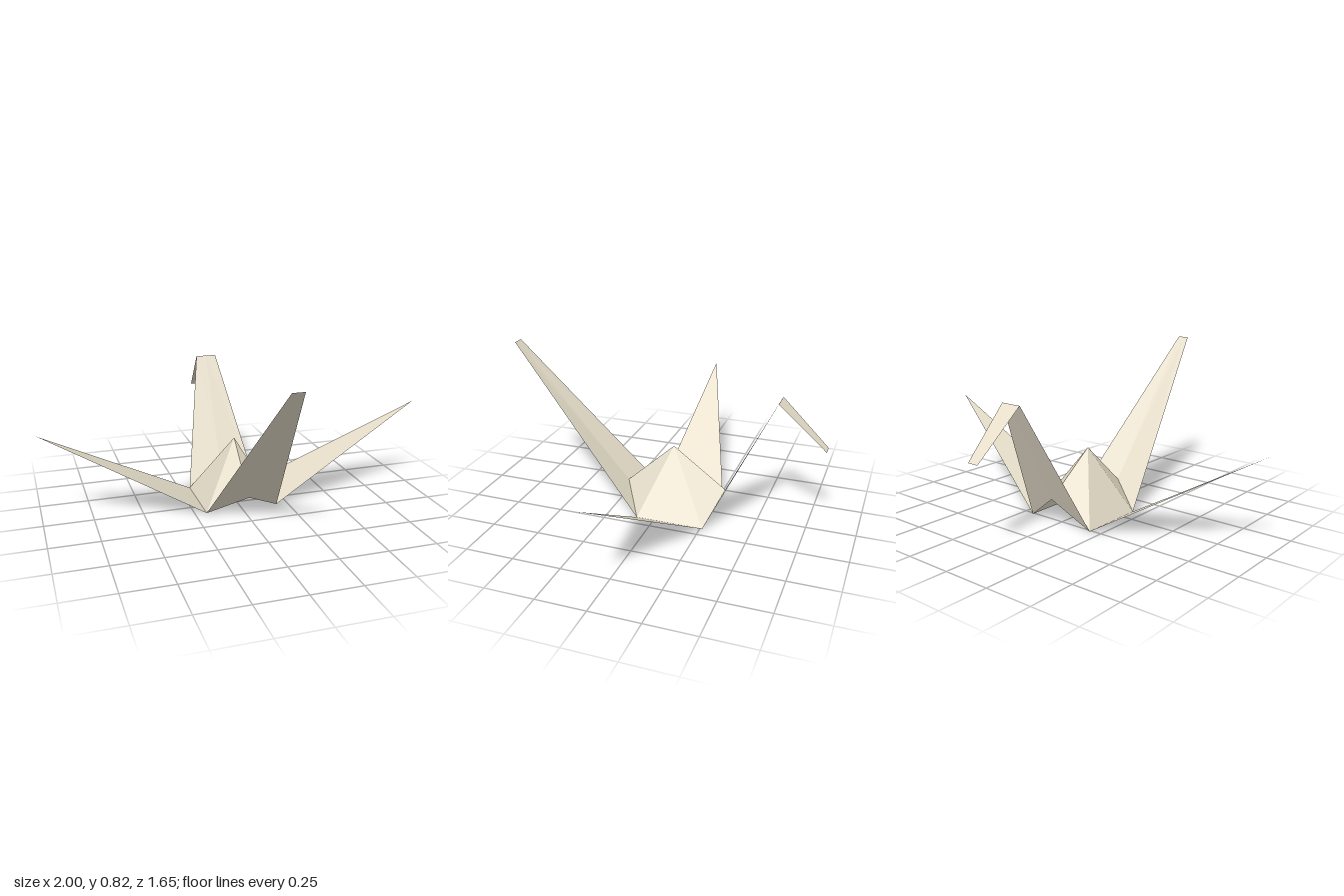
import * as THREE from 'three';

const paper = new THREE.MeshStandardMaterial({ color: 0xe9e1cd, side: THREE.DoubleSide });
paper.name = 'paper';

// Fold points on the centre line and on the +x side
const apex = [0, 0.345, -0.045];
const frontNotch = [0, 0.11, 0.21];
const backNotch = [0, 0.14, -0.325];
const frontCorner = [0.19, 0, 0.092];
const backCorner = [0.19, 0, -0.262];
const wingTip = [1, 0.475, 0.02];
const tailMid = [0, 0.82, 0.825];
const tailEdge = [0.03, 0.82, 0.825];
const neckMid = [0, 0.665, -0.585];
const neckEdge = [0.055, 0.665, -0.585];
const beakMid = [0, 0.44, -0.825];
const beakEdge = [0.03, 0.44, -0.825];

// Flat-faced sheet from convex polygons, each fanned into triangles
function sheet(name, polygons) {
  const positions = [];
  for (const p of polygons) {
    for (let i = 1; i < p.length - 1; i++) positions.push(...p[0], ...p[i], ...p[i + 1]);
  }
  const geometry = new THREE.BufferGeometry();
  geometry.setAttribute('position', new THREE.Float32BufferAttribute(positions, 3));
  geometry.computeVertexNormals();
  const mesh = new THREE.Mesh(geometry, paper);
  mesh.name = name;
  return mesh;
}

// Copy a polygon to the other side, keeping its facing
const mirror = (polygon) => polygon.map(([x, y, z]) => [-x, y, z]).reverse();
const symmetric = (name, polygons) => sheet(name, [...polygons, ...polygons.map(mirror)]);

export function createModel() {
  const model = new THREE.Group();
  model.name = 'foldedPaperBird';

  // Six-sided peaked back, open underneath
  model.add(symmetric('body', [
    [frontNotch, frontCorner, apex],
    [frontCorner, backCorner, apex],
    [backCorner, backNotch, apex],
  ]));

  // Wings
  const wing = [frontCorner, wingTip, backCorner];
  model.add(sheet('leftWing', [wing]), sheet('rightWing', [mirror(wing)]));

  // Straight tail, and neck with the head folded down
  model.add(symmetric('tail', [[frontNotch, tailMid, tailEdge, frontCorner]]));
  model.add(symmetric('neck', [[backCorner, neckEdge, neckMid, backNotch]]));
  model.add(symmetric('head', [[neckEdge, beakEdge, beakMid, neckMid]]));

  return model;
}
